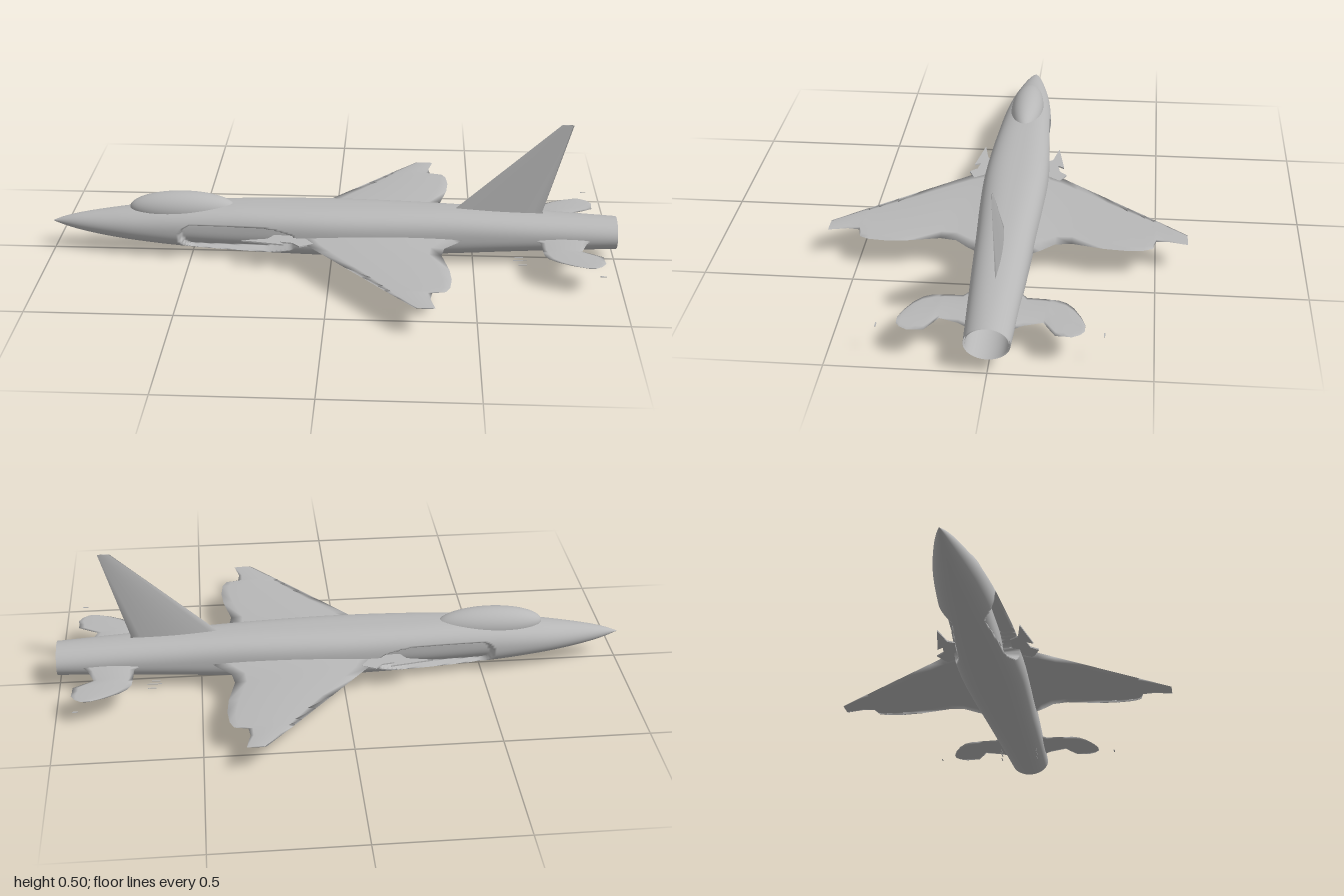
import * as THREE from 'three';

const grey = new THREE.MeshStandardMaterial({ name: 'airframe grey', color: 0xb8b8b8, side: THREE.DoubleSide });

// Skin a list of closed rings, each with the same number of [x, y, z] points
function loft(rings) {
  const m = rings[0].length, index = [];
  for (let i = 0; i < rings.length - 1; i++) {
    for (let j = 0; j < m; j++) {
      const a = i * m + j, b = i * m + (j + 1) % m;
      index.push(a, a + m, b + m, a, b + m, b);
    }
  }
  const g = new THREE.BufferGeometry();
  g.setAttribute('position', new THREE.Float32BufferAttribute(rings.flat(2), 3));
  g.setIndex(index);
  g.computeVertexNormals();
  return g;
}

// Lens-section surface spanning +z; stations are [span, leading x, trailing x, half thickness]
function foil(stations) {
  const n = 10;
  const ring = ([z, x0, x1, t]) => Array.from({ length: 2 * n }, (_, k) => {
    const u = k <= n ? k / n : 2 - k / n;
    const y = 4 * u * (1 - u) * t * (k <= n ? 1 : -1);
    return [x0 + (x1 - x0) * u, y, z];
  });
  const [z, x0, x1] = stations.at(-1), mid = (x0 + x1) / 2;
  return loft([...stations.map(ring), ring([z, mid, mid, 0])]);
}

// Fuselage stations: x, bottom, top, half width, squareness
const BODY = [
  [-1, 0.114, 0.116, 0.002, 2], [-0.96, 0.1, 0.131, 0.017, 2], [-0.9, 0.084, 0.146, 0.035, 2],
  [-0.8, 0.066, 0.163, 0.058, 2], [-0.7, 0.054, 0.176, 0.075, 2.1], [-0.55, 0.042, 0.19, 0.09, 2.3],
  [-0.35, 0.034, 0.198, 0.101, 2.7], [-0.2, 0.03, 0.2, 0.109, 2.8], [0, 0.027, 0.201, 0.114, 2.8],
  [0.2, 0.03, 0.2, 0.108, 2.7], [0.4, 0.037, 0.196, 0.098, 2.6], [0.6, 0.046, 0.188, 0.09, 2.4],
  [0.8, 0.054, 0.179, 0.081, 2.2], [1, 0.06, 0.169, 0.072, 2],
];

function station(x) {
  let i = 0;
  while (i < BODY.length - 2 && BODY[i + 1][0] < x) i++;
  const p = [BODY[Math.max(i - 1, 0)], BODY[i], BODY[i + 1], BODY[Math.min(i + 2, BODY.length - 1)]];
  const h = p[2][0] - p[1][0], s = (x - p[1][0]) / h;
  return [1, 2, 3, 4].map(k => {
    const m1 = (p[2][k] - p[0][k]) / (p[2][0] - p[0][0]) * h;
    const m2 = (p[3][k] - p[1][k]) / (p[3][0] - p[1][0]) * h;
    const s2 = s * s, s3 = s2 * s;
    return (2 * s3 - 3 * s2 + 1) * p[1][k] + (s3 - 2 * s2 + s) * m1 + (3 * s2 - 2 * s3) * p[2][k] + (s3 - s2) * m2;
  });
}

// Depth of the scooped side intake: a rounded slot narrowing toward the rear
function intakeDepth(x, y) {
  const narrow = THREE.MathUtils.smoothstep(x, -0.24, -0.08);
  const half = 0.047 * (1 - 0.65 * narrow);
  const cx = THREE.MathUtils.clamp(x, -0.488, -0.15);
  const inside = half - Math.hypot(x - cx, y - 0.097);
  return THREE.MathUtils.smoothstep(inside, -0.002, 0.004) * (0.03 + 0.06 * (x + 0.53));
}

function fuselage() {
  const rings = [], steps = 260, sides = 112;
  for (let i = 0; i <= steps; i++) {
    const x = -1 + 2 * i / steps, [bottom, top, w, n] = station(x);
    const h = (top - bottom) / 2, cy = (top + bottom) / 2, ring = [];
    for (let j = 0; j < sides; j++) {
      const a = j / sides * Math.PI * 2, c = Math.cos(a), s = Math.sin(a);
      const r = (Math.abs(c) ** n + Math.abs(s) ** n) ** (-1 / n);
      const y = cy + h * s * r;
      let z = w * c * r;
      if (Math.abs(c) > 0.4) z -= Math.sign(c) * intakeDepth(x, y);
      ring.push([x, y, z]);
    }
    rings.push(ring);
  }
  return loft(rings);
}

export function createModel() {
  const model = new THREE.Group();
  model.name = 'jet';
  const add = (parent, name, geometry, x = 0, y = 0, z = 0) => {
    const mesh = new THREE.Mesh(geometry, grey);
    mesh.name = name;
    mesh.position.set(x, y, z);
    parent.add(mesh);
    return mesh;
  };

  add(model, 'fuselage', fuselage());

  const canopy = add(model, 'canopy', new THREE.SphereGeometry(1, 48, 32), -0.53, 0.176, 0);
  canopy.scale.set(0.19, 0.06, 0.06);

  // Thin inner lining of the open exhaust
  const lining = Array.from({ length: 9 }, (_, i) => Array.from({ length: 40 }, (_, j) => {
    const a = -j / 40 * Math.PI * 2;
    return [1 - i * 0.05, 0.1145 + 0.052 * Math.sin(a), 0.067 * Math.cos(a)];
  }));
  lining.forEach(ring => ring.reverse());
  add(model, 'exhaustLining', loft(lining.reverse()));

  const fin = foil([[0.13, 0.38, 0.755, 0.009], [0.19, 0.43, 0.74, 0.008], [0.515, 0.79, 0.832, 0.002]]);
  fin.rotateX(-Math.PI / 2);
  add(model, 'tailFin', fin);

  const wing = foil([
    [0.08, -0.14, 0.47, 0.013], [0.12, -0.11, 0.44, 0.011], [0.165, -0.08, 0.395, 0.009],
    [0.22, -0.033, 0.385, 0.008], [0.33, 0.06, 0.41, 0.006], [0.4, 0.12, 0.416, 0.005],
    [0.46, 0.17, 0.41, 0.004], [0.49, 0.196, 0.395, 0.004], [0.5, 0.204, 0.35, 0.004],
    [0.54, 0.239, 0.345, 0.003], [0.605, 0.295, 0.36, 0.002],
  ]);
  const tailplane = foil([
    [0.06, 0.68, 0.92, 0.007], [0.1, 0.73, 0.89, 0.006], [0.16, 0.733, 0.868, 0.005],
    [0.175, 0.735, 0.895, 0.005], [0.2, 0.737, 0.937, 0.004], [0.225, 0.75, 0.937, 0.004],
    [0.25, 0.78, 0.94, 0.003], [0.275, 0.83, 0.925, 0.003], [0.288, 0.87, 0.905, 0.002],
  ]);

  // Ragged strake ahead of the wing root
  const outline = [[-0.2, 0.09], [-0.22, 0.12], [-0.31, 0.138], [-0.16, 0.164], [-0.175, 0.142],
    [-0.13, 0.15], [-0.105, 0.176], [-0.06, 0.155], [0, 0.09]];
  const strake = new THREE.ExtrudeGeometry(new THREE.Shape(outline.map(p => new THREE.Vector2(...p))),
    { depth: 0.005, bevelEnabled: false });
  strake.rotateX(Math.PI / 2);

  for (const [side, sign] of [['left', 1], ['right', -1]]) {
    const half = new THREE.Group();
    half.name = side === 'left' ? 'frontSideSurfaces' : 'backSideSurfaces';
    half.scale.z = sign;
    add(half, 'wing', wing, 0, 0.115, 0);
    add(half, 'tailplane', tailplane, 0, 0.113, 0);
    add(half, 'strake', strake, 0, 0.117, 0);
    // Small loose slivers by the tail
    add(half, 'tipSliver', new THREE.BoxGeometry(0.02, 0.002, 0.004), 0.92, 0.113, 0.348);
    for (const [x, y, w] of [[0.66, 0.04, 0.03], [0.665, 0.028, 0.05], [0.675, 0.011, 0.03]]) {
      add(half, 'lowerSliver', new THREE.BoxGeometry(w, 0.002, 0.003), x, y, 0.067);
    }
    model.add(half);
  }
  return model;
}
